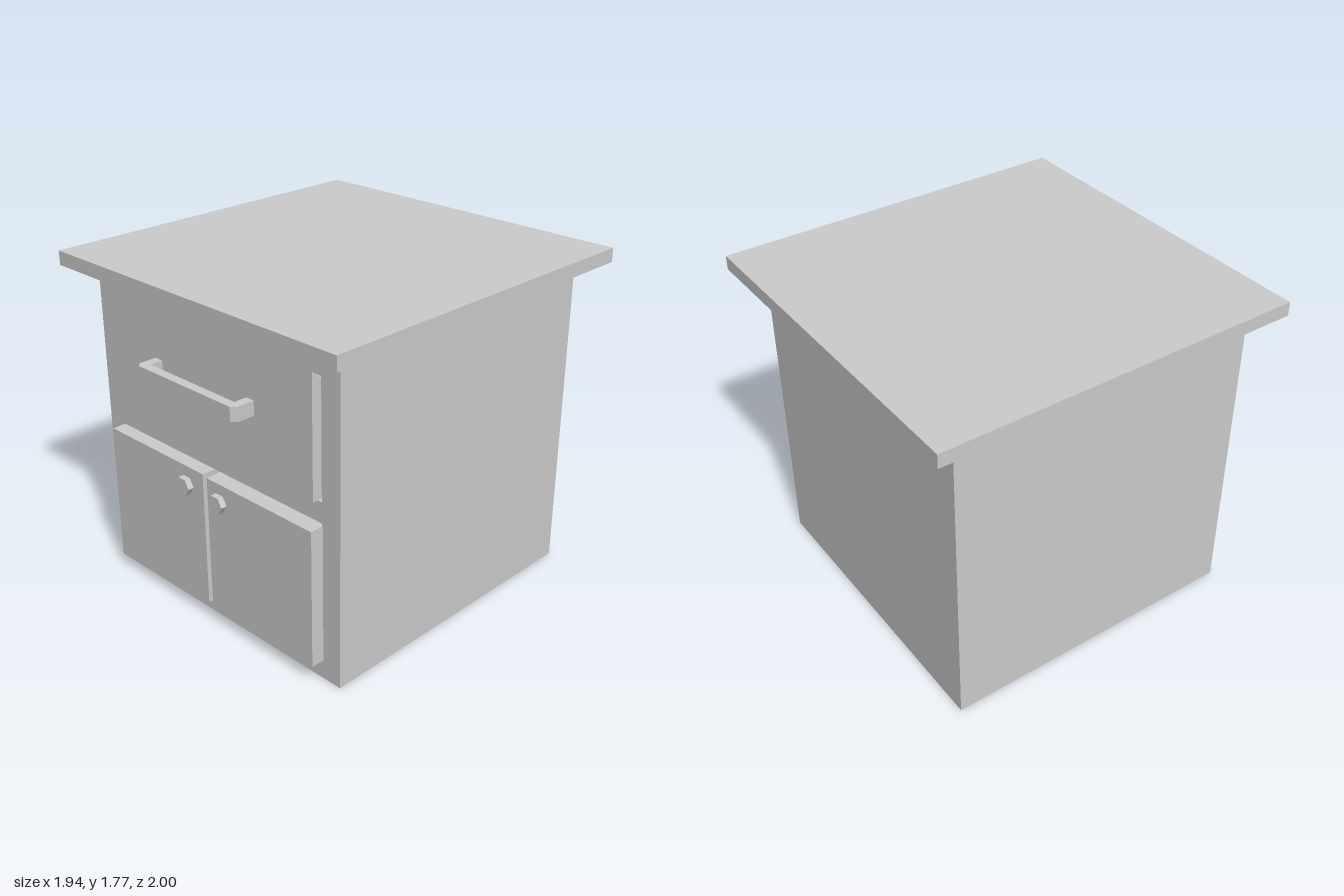
import * as THREE from 'three';

const material = new THREE.MeshStandardMaterial({ color: 0xcccccc, flatShading: true });

function add(parent, name, geometry, x = 0, y = 0, z = 0) {
  const mesh = new THREE.Mesh(geometry, material);
  mesh.name = name;
  mesh.position.set(x, y, z);
  parent.add(mesh);
  return mesh;
}

// Box given by its lower and upper limits on each axis
function block(parent, name, [x0, x1], [y0, y1], [z0, z1]) {
  return add(parent, name, new THREE.BoxGeometry(x1 - x0, y1 - y0, z1 - z0),
    (x0 + x1) / 2, (y0 + y1) / 2, (z0 + z1) / 2);
}

function polygon(points, Type = THREE.Shape) {
  return new Type(points.map(([x, y]) => new THREE.Vector2(x, y)));
}

const rect = (x0, x1, y0, y1) => [[x0, y0], [x1, y0], [x1, y1], [x0, y1]];
const extrude = (shape, depth) => new THREE.ExtrudeGeometry(shape, { depth, bevelEnabled: false });

export function createModel() {
  const model = new THREE.Group();
  model.name = 'nightstand';
  const front = 0.83, recess = 0.76;

  // Carcass: solid body with a front frame cut out for the drawer and doors
  block(model, 'body', [-0.85, 0.85], [0, 1.7], [-0.85, recess]);
  const frame = polygon(rect(-0.85, 0.85, 0, 1.7));
  frame.holes.push(polygon(rect(-0.735, 0.735, 0.96, 1.57).reverse(), THREE.Path));
  frame.holes.push(polygon(rect(-0.735, 0.735, 0.11, 0.85).reverse(), THREE.Path));
  add(model, 'frontFrame', extrude(frame, front - recess), 0, 0, recess);

  // Overhanging top
  block(model, 'top', [-0.97, 0.97], [1.7, 1.775], [-1, 0.975]);

  // Drawer front: side profile with a sloping top edge, swept across the width
  const drawer = new THREE.Group();
  drawer.name = 'drawer';
  model.add(drawer);
  const profile = polygon([[-recess, 0.975], [-recess, 1.56], [-front, 1.56], [-0.88, 1.607], [-0.88, 0.975]]);
  add(drawer, 'drawerFront', extrude(profile, 1.465), -0.735).rotation.y = Math.PI / 2;

  // Bracket handle with chamfered corners
  const handle = polygon([
    [-0.355, 0.87], [-0.355, 0.975], [-0.33, 1], [0.33, 1], [0.355, 0.975], [0.355, 0.87],
    [0.305, 0.87], [0.305, 0.95], [-0.305, 0.95], [-0.305, 0.87],
  ]);
  add(drawer, 'drawerHandle', extrude(handle, 0.075), 0, 1.35, 0).rotation.x = Math.PI / 2;

  // Doors, each with a six-sided knob on a short stem
  const doors = [
    ['rightDoor', [-0.735, -0.01], [0.11, 0.847], -0.12, 0.755],
    ['leftDoor', [0.02, 0.74], [0.103, 0.838], 0.125, 0.748],
  ];
  for (const [name, xs, ys, knobX, knobY] of doors) {
    const door = new THREE.Group();
    door.name = name;
    model.add(door);
    block(door, name + 'Panel', xs, ys, [recess + 0.01, 0.903]);
    for (const [part, radius, z0, z1] of [['Stem', 0.025, 0.9, 0.92], ['Knob', 0.05, 0.915, 0.947]]) {
      const hexagon = new THREE.CylinderGeometry(radius, radius, z1 - z0, 6);
      hexagon.rotateY(Math.PI / 2).rotateX(Math.PI / 2);
      add(door, name + part, hexagon, knobX, knobY, (z0 + z1) / 2);
    }
  }
  return model;
}
